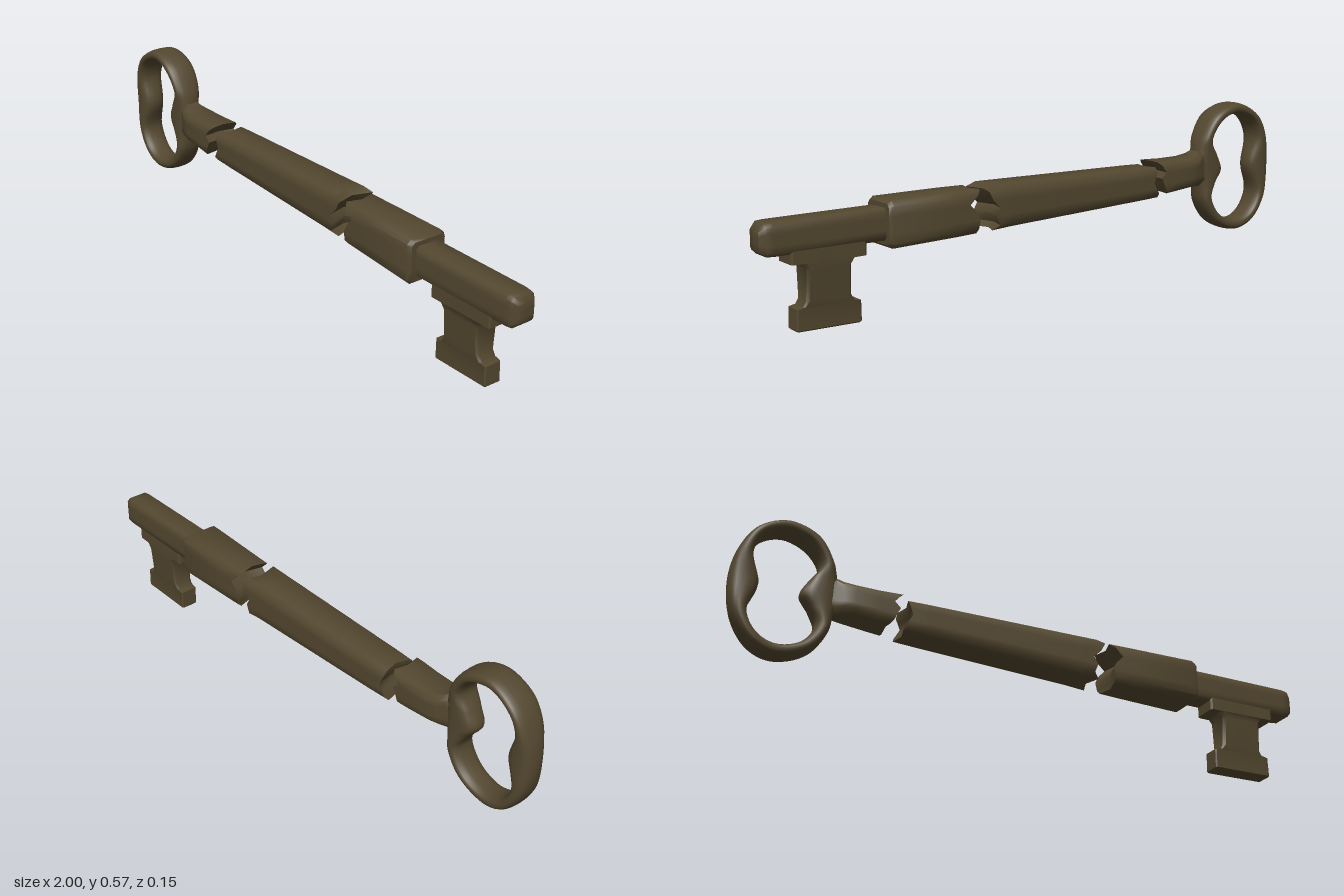
import * as THREE from 'three';
import { mergeVertices, toCreasedNormals } from 'three/addons/utils/BufferGeometryUtils.js';

const iron = new THREE.MeshStandardMaterial({ color: 0x53472f });
iron.name = 'aged iron';

const FLAT = [0, 0, 0, 0, 0, 0, 0];

// Cross-section of a bevelled bar: x, bottom, top, back, front, bevel,
// with optional x shifts per height level (jag) and at the centre line (dip)
function section(x, y0, y1, z0, z1, c, jag = FLAT, dip = 0) {
  const h = y1 - y0;
  const ys = [0, c, h * 0.32, h * 0.5, h * 0.68, h - c, h];
  const right = [], mid = [], left = [];
  ys.forEach((y, i) => {
    const inset = i === 0 || i === 6 ? c : 0;
    const px = x + jag[i];
    right.push([px, y0 + y, z0 + inset]);
    mid.push([px + dip, y0 + y, (z0 + z1) / 2]);
    left.push([px, y0 + y, z1 - inset]);
  });
  return { right, mid, left, rim: [...right, mid[6], ...[...left].reverse(), mid[0]] };
}

// Skin a list of sections and close both ends
function bar(rows, crease = 0.9) {
  const s = rows.map((r) => section(...r));
  const pos = [];
  const tri = (a, b, c) => pos.push(...a, ...b, ...c);
  const quad = (a, b, c, d) => { tri(a, b, d); tri(b, c, d); };
  for (let k = 0; k < s.length - 1; k++) {
    const a = s[k].rim, b = s[k + 1].rim;
    for (let j = 0; j < a.length; j++) {
      const n = (j + 1) % a.length;
      quad(a[j], a[n], b[n], b[j]);
    }
  }
  const first = s[0], last = s[s.length - 1];
  for (let i = 0; i < 6; i++) {
    quad(last.right[i], last.right[i + 1], last.mid[i + 1], last.mid[i]);
    quad(last.mid[i], last.mid[i + 1], last.left[i + 1], last.left[i]);
    quad(first.mid[i], first.mid[i + 1], first.right[i + 1], first.right[i]);
    quad(first.left[i], first.left[i + 1], first.mid[i + 1], first.mid[i]);
  }
  const geo = new THREE.BufferGeometry();
  geo.setAttribute('position', new THREE.Float32BufferAttribute(pos, 3));
  return toCreasedNormals(geo, crease);
}

// Kidney-pinched ring: outer x, y, inner x, y, half depth
function bowGeometry() {
  const stations = [
    [-0.66, 0.335, -0.778, 0.335, 0.042], [-0.665, 0.405, -0.755, 0.385, 0.044],
    [-0.68, 0.455, -0.722, 0.44, 0.048], [-0.735, 0.535, -0.76, 0.503, 0.053],
    [-0.835, 0.568, -0.835, 0.528, 0.05], [-0.93, 0.525, -0.905, 0.5, 0.052],
    [-0.98, 0.445, -0.933, 0.44, 0.048], [-1, 0.335, -0.908, 0.338, 0.042],
    [-0.98, 0.22, -0.938, 0.24, 0.044], [-0.92, 0.135, -0.905, 0.175, 0.044],
    [-0.845, 0.108, -0.845, 0.15, 0.042], [-0.74, 0.145, -0.77, 0.172, 0.044],
    [-0.685, 0.22, -0.725, 0.24, 0.044], [-0.672, 0.28, -0.748, 0.292, 0.042],
  ];
  const outer = new THREE.CatmullRomCurve3(stations.map((p) => new THREE.Vector3(p[0], p[1], p[4])), true);
  const inner = new THREE.CatmullRomCurve3(stations.map((p) => new THREE.Vector3(p[2], p[3], 0)), true);
  const M = 84, N = 18, pos = [], index = [];
  const soft = (v) => Math.sign(v) * Math.abs(v) ** 0.8;
  for (let i = 0; i < M; i++) {
    const o = outer.getPoint(i / M), n = inner.getPoint(i / M);
    for (let j = 0; j < N; j++) {
      const a = (j / N) * Math.PI * 2;
      const k = (1 + soft(Math.cos(a))) / 2;
      pos.push(n.x + (o.x - n.x) * k, n.y + (o.y - n.y) * k, 0.002 + soft(Math.sin(a)) * o.z);
      const i2 = (i + 1) % M, j2 = (j + 1) % N;
      const A = i * N + j, B = i2 * N + j, C = i2 * N + j2, D = i * N + j2;
      index.push(A, B, D, B, C, D);
    }
  }
  const geo = new THREE.BufferGeometry();
  geo.setAttribute('position', new THREE.Float32BufferAttribute(pos, 3));
  geo.setIndex(index);
  const welded = mergeVertices(geo);
  welded.computeVertexNormals();
  return welded;
}

export function createModel() {
  const key = new THREE.Group();
  key.name = 'brokenKey';
  const add = (name, geo) => {
    const mesh = new THREE.Mesh(geo, iron);
    mesh.name = name;
    key.add(mesh);
  };

  add('bow', bowGeometry());

  // Neck flaring out of the bow, snapped at its far end
  add('neck', bar([
    [-0.71, 0.29, 0.385, -0.03, 0.034, 0.02],
    [-0.672, 0.282, 0.41, -0.036, 0.04, 0.02],
    [-0.65, 0.286, 0.395, -0.048, 0.052, 0.018],
    [-0.615, 0.288, 0.386, -0.056, 0.06, 0.014],
    [-0.54, 0.28, 0.384, -0.056, 0.061, 0.013],
    [-0.48, 0.276, 0.386, -0.055, 0.062, 0.012, [-0.02, -0.01, 0, 0.01, -0.01, 0.008, 0.02], -0.01],
  ]));

  // Middle length of the shank, broken at both ends
  add('shank', bar([
    [-0.44, 0.269, 0.373, -0.068, 0.055, 0.015, [-0.012, -0.006, 0.004, 0.015, 0.008, 0, 0], 0.012],
    [-0.38, 0.265, 0.374, -0.069, 0.056, 0.015],
    [0.16, 0.238, 0.375, -0.075, 0.06, 0.017],
    [0.23, 0.233, 0.375, -0.076, 0.06, 0.016, [0, -0.02, -0.008, -0.022, 0.004, 0.02, -0.005], -0.02],
  ]));

  // Thick collar, broken on the shank side
  add('collar', bar([
    [0.285, 0.229, 0.367, -0.069, 0.063, 0.016, [0, 0, -0.006, 0.006, 0.03, 0.002, -0.014], 0.015],
    [0.36, 0.225, 0.367, -0.07, 0.066, 0.017],
    [0.585, 0.217, 0.362, -0.07, 0.074, 0.014],
    [0.598, 0.226, 0.354, -0.062, 0.066, 0.012],
  ]));

  // Slim tip with a blunt bevelled end
  add('tip', bar([
    [0.58, 0.24, 0.34, -0.043, 0.048, 0.01],
    [0.96, 0.235, 0.334, -0.043, 0.048, 0.01],
    [0.982, 0.237, 0.332, -0.041, 0.046, 0.01],
    [1, 0.253, 0.316, -0.027, 0.031, 0.006],
  ]));

  // Bit hanging under the tip: ledge, waisted stem and foot, skinned downwards
  const bit = bar([
    [-0.26, 0.662, 0.908, -0.042, 0.047, 0.006],
    [-0.205, 0.662, 0.908, -0.042, 0.047, 0.006],
    [-0.204, 0.7, 0.868, -0.042, 0.046, 0.008],
    [-0.185, 0.712, 0.856, -0.04, 0.044, 0.008],
    [-0.09, 0.71, 0.857, -0.032, 0.036, 0.008],
    [-0.072, 0.7, 0.868, -0.03, 0.034, 0.006],
    [-0.068, 0.678, 0.888, -0.029, 0.033, 0.004],
    [-0.004, 0.677, 0.89, -0.029, 0.033, 0.004],
    [0, 0.681, 0.886, -0.025, 0.029, 0.004],
  ], 0.7);
  bit.rotateZ(-Math.PI / 2);
  add('bit', bit);

  return key;
}
